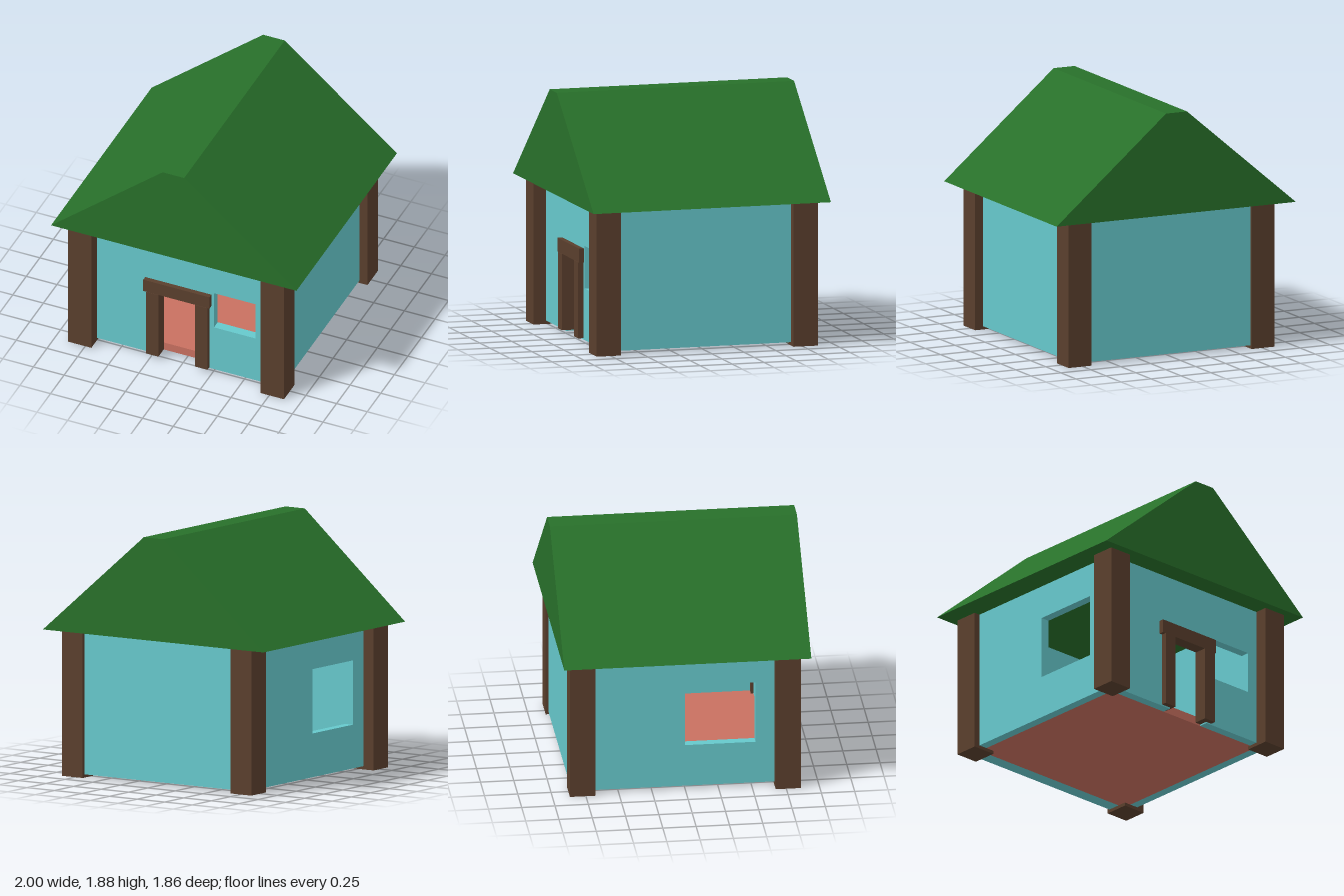
import * as THREE from 'three';

const material = (color) => new THREE.MeshStandardMaterial({ color, flatShading: true });
const TEAL = material(0x66c8cc);
const BROWN = material(0x5a3f2d);
const GREEN = material(0x28702a);
const RED = material(0xc87060);
const EAVE = 1.1;
const BASE = 0.025;

export function createModel() {
  const house = new THREE.Group();
  house.name = 'house';

  const add = (name, geometry, mat) => {
    const mesh = new THREE.Mesh(geometry, mat);
    mesh.name = name;
    house.add(mesh);
    return mesh;
  };

  // Box given by its limits on each axis
  const box = (name, [x0, x1], [y0, y1], [z0, z1], mat) =>
    add(name, new THREE.BoxGeometry(x1 - x0, y1 - y0, z1 - z0), mat)
      .position.set((x0 + x1) / 2, (y0 + y1) / 2, (z0 + z1) / 2);

  const polygon = (points) => new THREE.Shape(points.map(([x, y]) => new THREE.Vector2(x, y)));
  const extrude = (shape, depth) => new THREE.ExtrudeGeometry(shape, { depth, bevelEnabled: false });
  const windowHole = (x0, x1, y0, y1) =>
    new THREE.Path([[x0, y0], [x0, y1], [x1, y1], [x1, y0]].map(([x, y]) => new THREE.Vector2(x, y)));

  // Roof: ridge cut flat, gables closed
  const roof = polygon([[-1, EAVE], [1, EAVE], [0.085, 1.875], [-0.09, 1.875]]);
  add('roof', extrude(roof, 1.855), GREEN).position.z = -0.93;

  // Corner posts
  const posts = [
    ['frontRightPost', [-0.89, -0.70], [0.67, 0.86]],
    ['frontLeftPost', [0.68, 0.87], [0.67, 0.86]],
    ['backRightPost', [-0.85, -0.66], [-0.87, -0.68]],
    ['backLeftPost', [0.68, 0.87], [-0.87, -0.68]],
  ];
  for (const [name, x, z] of posts) box(name, x, [0, EAVE], z, BROWN);

  // Front wall with a doorway notch and a window
  const front = polygon([
    [-0.8, BASE], [-0.2, BASE], [-0.2, 0.65], [0.17, 0.65], [0.17, BASE],
    [0.8, BASE], [0.8, EAVE], [-0.8, EAVE],
  ]);
  front.holes.push(windowHole(0.255, 0.595, 0.415, 0.735));
  add('frontWall', extrude(front, 0.07), TEAL).position.z = 0.69;

  // Right wall with a window, drawn in z and y, then turned
  const side = polygon([[-0.75, BASE], [0.69, BASE], [0.69, EAVE], [-0.75, EAVE]]);
  side.holes.push(windowHole(0, 0.53, 0.355, 0.84));
  const rightWall = extrude(side, 0.07).rotateY(-Math.PI / 2);
  add('rightWall', rightWall, TEAL).position.x = -0.73;

  // Plain walls
  box('leftWall', [0.735, 0.805], [BASE, EAVE], [-0.75, 0.69], TEAL);
  box('backWall', [-0.8, 0.8], [BASE, EAVE], [-0.85, -0.75], TEAL);

  // Floor
  box('floor', [-0.73, 0.735], [BASE, 0.09], [-0.75, 0.69], RED);

  // Door frame
  for (const [name, x] of [['rightDoorJamb', -0.28], ['leftDoorJamb', 0.12]]) {
    box(name, [x, x + 0.1], [0.035, 0.61], [0.695, 0.8], BROWN);
  }
  box('doorLintel', [-0.305, 0.235], [0.61, 0.715], [0.7, 0.797], BROWN);

  return house;
}
